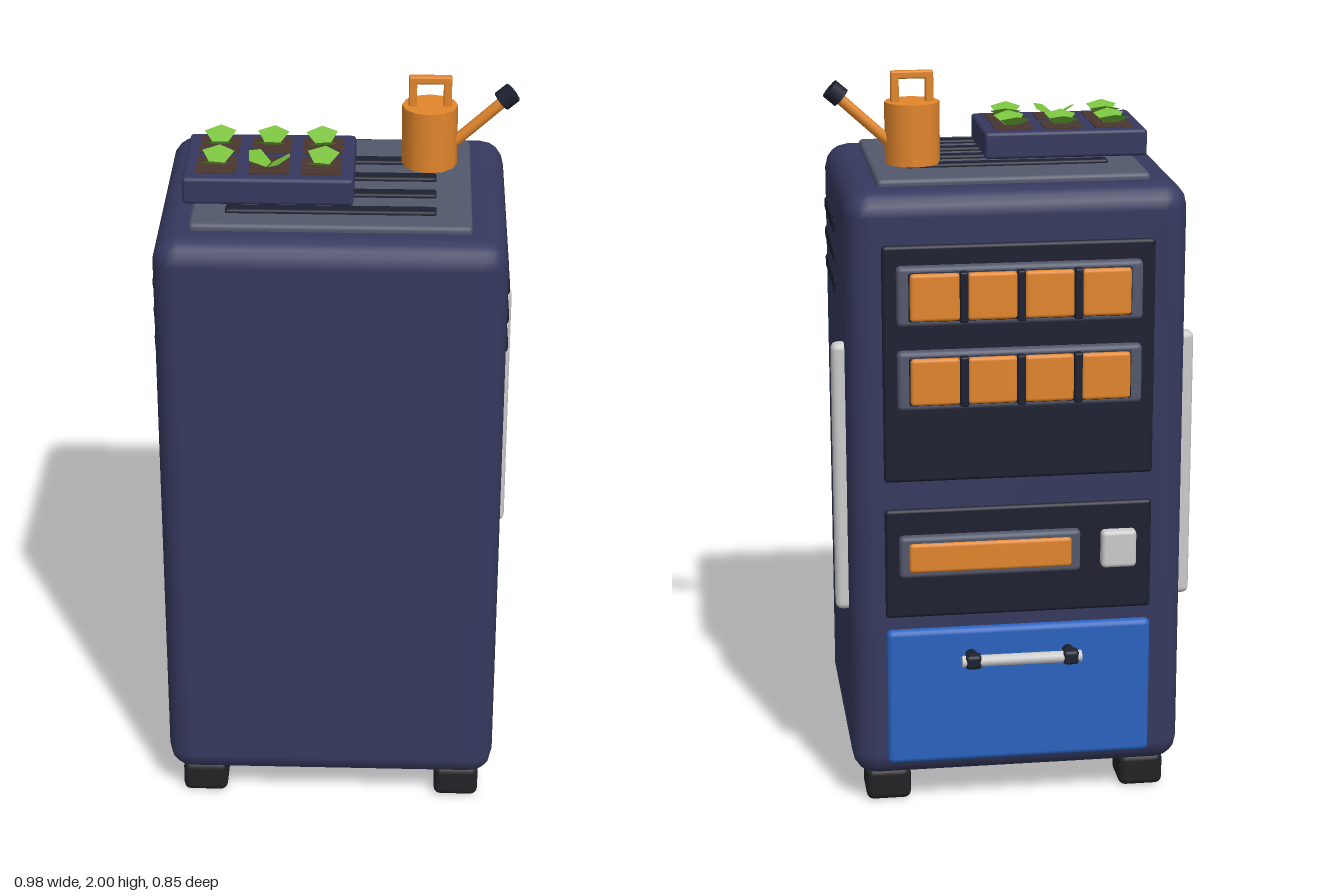
import * as THREE from 'three';
import { RoundedBoxGeometry } from 'three/addons/geometries/RoundedBoxGeometry.js';

const mat = (color, extra = {}) => {
  const m = new THREE.MeshStandardMaterial(extra);
  m.color.set(color);
  return m;
};

export function createModel() {
  const model = new THREE.Group();
  model.name = 'gardenVendingCabinet';
  const navy = mat(0x36395f), slate = mat(0x53586c), dark = mat(0x1d2030);
  const orange = mat(0xe2862c), blue = mat(0x2a63c0), grey = mat(0xcccccc);
  const rubber = mat(0x232326), soilMat = mat(0x4a352e);
  const leafMat = mat(0x78c03c, { side: THREE.DoubleSide, flatShading: true });

  const add = (name, geo, material, x, y, z, parent = model) => {
    const mesh = new THREE.Mesh(geo, material);
    mesh.name = name;
    mesh.position.set(x, y, z);
    parent.add(mesh);
    return mesh;
  };
  // Rounded box given by its min and max on each axis
  const box = (name, material, [x0, x1], [y0, y1], [z0, z1], r = 0.008, parent = model) =>
    add(name, new RoundedBoxGeometry(x1 - x0, y1 - y0, z1 - z0, 2, r), material,
      (x0 + x1) / 2, (y0 + y1) / 2, (z0 + z1) / 2, parent);
  // Round bar between two points
  const bar = (name, material, a, b, r, sides = 10, parent = model) => {
    const p = new THREE.Vector3(...a), q = new THREE.Vector3(...b), d = q.clone().sub(p);
    const mesh = add(name, new THREE.CylinderGeometry(r, r, d.length(), sides), material, 0, 0, 0, parent);
    mesh.position.copy(p).add(q).multiplyScalar(0.5);
    mesh.quaternion.setFromUnitVectors(new THREE.Vector3(0, 1, 0), d.normalize());
    return mesh;
  };

  // Cabinet and feet
  box('cabinetBody', navy, [-0.455, 0.455], [0.085, 1.727], [-0.34, 0.425], 0.065);
  for (const x of [-0.355, 0.355])
    for (const z of [-0.235, 0.328])
      box('foot', rubber, [x - 0.062, x + 0.062], [0, 0.095], [z - 0.062, z + 0.062], 0.02);

  // Top plate with vent slats
  box('topPlate', slate, [-0.364, 0.362], [1.705, 1.745], [-0.25, 0.332], 0.012);
  for (const z of [-0.088, 0.022, 0.13, 0.24])
    box('topVent', dark, [-0.275, 0.27], [1.732, 1.755], [z - 0.02, z + 0.02], 0.007);

  // Sides: vents, grip rail and orange plate, mirrored
  for (const s of [-1, 1]) {
    const span = (a, b) => (s > 0 ? [a, b] : [-b, -a]);
    for (const y of [1.567, 1.484, 1.402])
      box('sideVent', dark, span(0.44, 0.462), [y - 0.019, y + 0.019], [0.01, 0.318], 0.008);
    box('sideRail', grey, span(0.442, 0.49), [0.555, 1.307], [-0.255, -0.205], 0.018);
    box('sidePlate', orange, span(0.44, 0.473), [0.807, 1.163], [-0.172, -0.065], 0.012);
  }

  // Rear display panel with two shelves of goods
  box('displayPanel', dark, [-0.362, 0.362], [0.945, 1.59], [-0.35, -0.325], 0.01);
  for (const y of [1.458, 1.23]) {
    const shelf = new THREE.Group();
    shelf.name = 'shelf';
    model.add(shelf);
    box('shelfFrame', slate, [-0.325, 0.325], [y - 0.08, y + 0.08], [-0.374, -0.335], 0.012, shelf);
    box('shelfRecess', dark, [-0.295, 0.295], [y - 0.066, y + 0.066], [-0.38, -0.36], 0.006, shelf);
    for (let i = 0; i < 4; i++) {
      const x = (i - 1.5) * 0.151;
      box('goodsPack', orange, [x - 0.066, x + 0.066], [y - 0.064, y + 0.064], [-0.388, -0.36], 0.01, shelf);
    }
    for (const x of [-0.151, 0, 0.151])
      box('shelfDivider', dark, [x - 0.011, x + 0.011], [y - 0.068, y + 0.068], [-0.397, -0.36], 0.005, shelf);
  }

  // Rear control panel with slot and button
  box('controlPanel', dark, [-0.362, 0.362], [0.56, 0.868], [-0.35, -0.325], 0.01);
  box('slotFrame', slate, [-0.165, 0.325], [0.68, 0.797], [-0.372, -0.335], 0.012);
  box('slotWindow', orange, [-0.14, 0.3], [0.697, 0.78], [-0.38, -0.355], 0.01);
  box('button', grey, [-0.318, -0.222], [0.685, 0.79], [-0.376, -0.335], 0.012);

  // Rear collection door with bar handle
  box('collectionDoor', blue, [-0.362, 0.362], [0.135, 0.525], [-0.36, -0.32], 0.016);
  bar('doorHandle', grey, [-0.163, 0.45, -0.41], [0.163, 0.45, -0.41], 0.016, 12);
  for (const x of [-0.133, 0.133]) {
    bar('handlePost', dark, [x, 0.45, -0.35], [x, 0.45, -0.405], 0.016);
    box('handleClip', dark, [x - 0.022, x + 0.022], [0.43, 0.47], [-0.428, -0.39], 0.01);
  }

  // Seedling tray
  const tray = new THREE.Group();
  tray.name = 'seedlingTray';
  model.add(tray);
  box('trayBody', navy, [-0.387, 0.055], [1.755, 1.828], [-0.075, 0.232], 0.01, tray);
  const leafGeo = new THREE.ShapeGeometry(new THREE.Shape([
    [-0.018, 0.002], [0.018, 0.002], [0.042, 0.046], [0.002, 0.066], [-0.042, 0.046],
  ].map(p => new THREE.Vector2(...p))));
  leafGeo.rotateX(-Math.PI / 2 + 0.5); // outer end rises
  [0.01, 0.146].forEach((z, row) => [-0.302, -0.165, -0.03].forEach((x, col) => {
    add('soil', new THREE.BoxGeometry(0.104, 0.02, 0.107), soilMat, x, 1.821, z, tray);
    const turn = row === 1 && col === 1 ? 1.25 : [0.05, -0.06, 0.12][col] * (row ? -1 : 1);
    for (const half of [0, Math.PI])
      add('leaf', leafGeo, leafMat, x, 1.832, z, tray).rotation.y = turn + half;
  }));

  // Watering can
  const can = new THREE.Group();
  can.name = 'wateringCan';
  can.position.set(0.25, 0, -0.068);
  model.add(can);
  add('canBody', new THREE.CylinderGeometry(0.074, 0.074, 0.165, 12), orange, 0, 1.836, 0, can);
  for (const x of [-0.057, 0.035])
    box('canHandlePost', orange, [x, x + 0.022], [1.9, 2], [-0.012, 0.012], 0.005, can);
  box('canHandleGrip', orange, [-0.057, 0.057], [1.979, 2], [-0.012, 0.012], 0.005, can);
  bar('canSpout', orange, [0.05, 1.8, 0], [0.2, 1.937, 0], 0.015, 10, can);
  bar('sprinklerHead', dark, [0.188, 1.931, 0], [0.218, 1.957, 0], 0.028, 10, can);

  return model;
}
